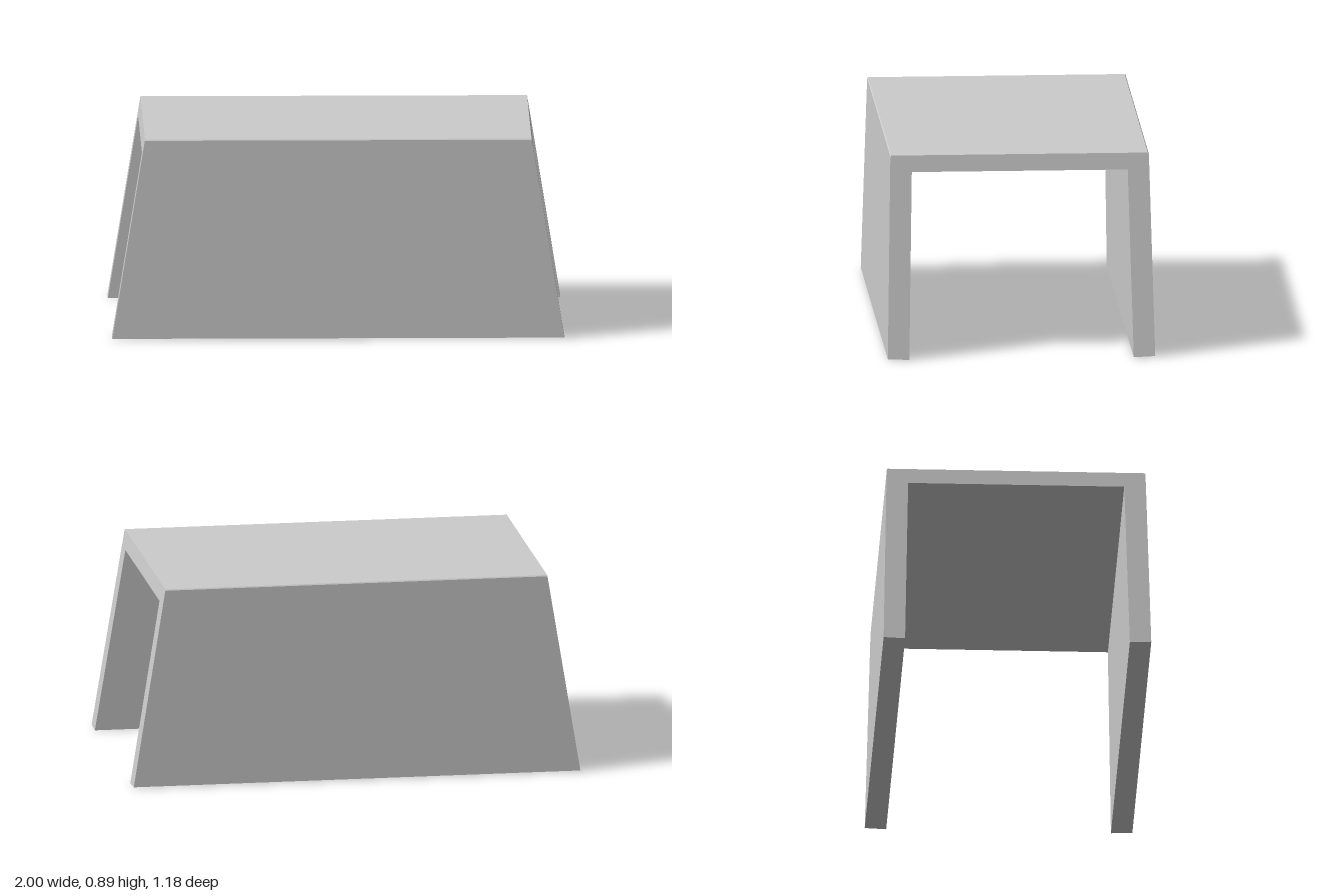
import * as THREE from 'three';

const material = new THREE.MeshStandardMaterial({ color: 0xcccccc, flatShading: true });

// Extrudes a [z, y] cross-section along x, with ends that taper inward with height
function taperedPanel(name, points) {
  const shape = new THREE.Shape(points.map(([z, y]) => new THREE.Vector2(-z, y)));
  const geometry = new THREE.ExtrudeGeometry(shape, { depth: 2, bevelEnabled: false });
  geometry.translate(0, 0, -1);
  geometry.rotateY(Math.PI / 2); // extrusion depth becomes x
  const pos = geometry.attributes.position;
  for (let i = 0; i < pos.count; i++) {
    pos.setX(i, pos.getX(i) * (1 - 0.163 * pos.getY(i)));
    pos.setZ(i, pos.getZ(i));
  }
  geometry.computeVertexNormals();
  const mesh = new THREE.Mesh(geometry, material);
  mesh.name = name;
  return mesh;
}

export function createModel() {
  const group = new THREE.Group();
  group.name = 'openEndedTable';

  // Top slab with a narrow bevel along its long edges
  group.add(taperedPanel('topPanel', [
    [-0.574, 0.82], [0.574, 0.82], [0.572, 0.888], [0.568, 0.893],
    [-0.568, 0.893], [-0.572, 0.888],
  ]));

  // Side panels splay outward, so their feet are very slightly tilted
  for (const [name, s] of [['frontPanel', 1], ['backPanel', -1]]) {
    group.add(taperedPanel(name, [
      [s * 0.497, 0], [s * 0.592, 0.004], [s * 0.574, 0.82], [s * 0.478, 0.82],
    ]));
  }
  return group;
}
